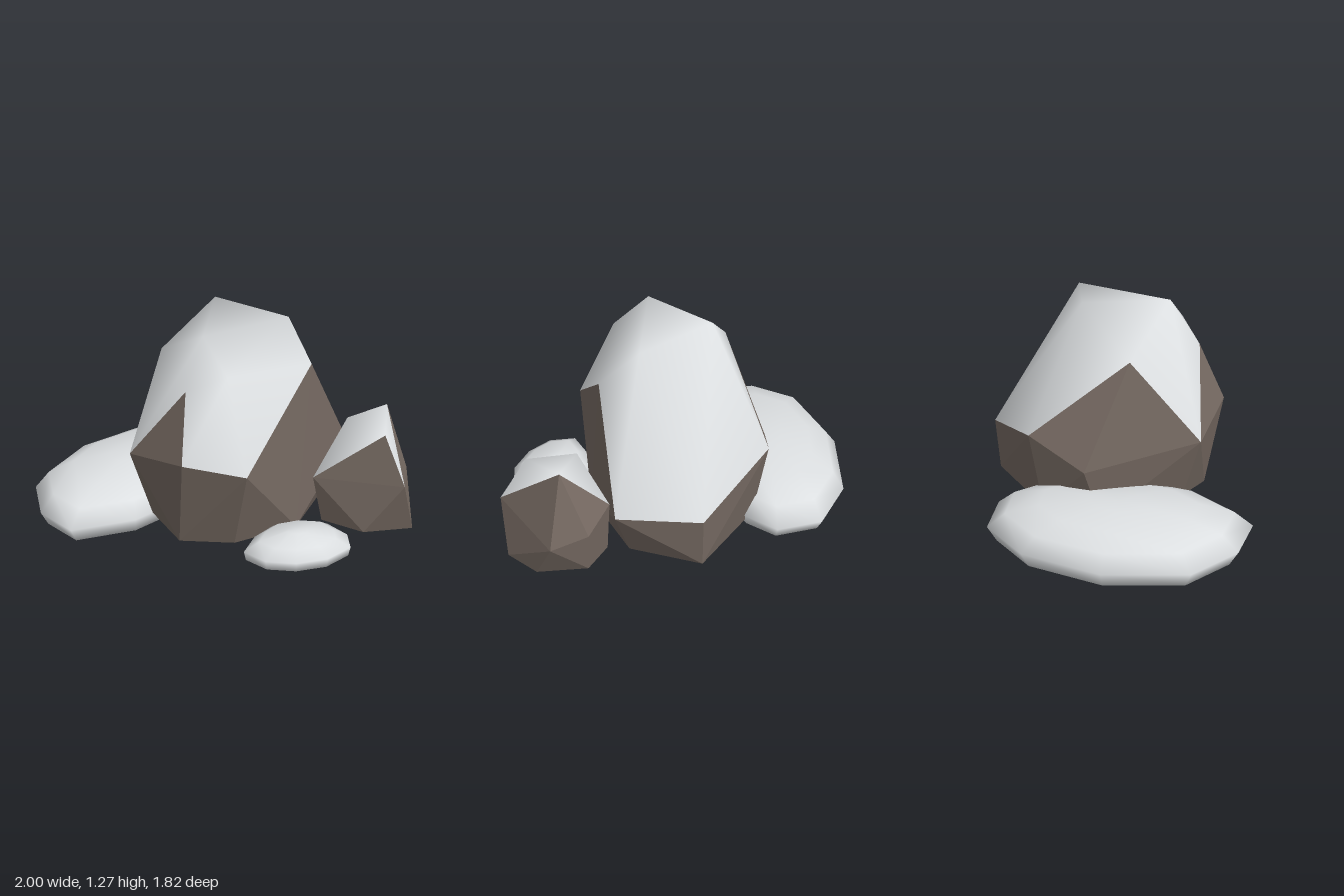
import * as THREE from 'three';
import { mergeVertices } from 'three/addons/utils/BufferGeometryUtils.js';
import { ConvexGeometry } from 'three/addons/geometries/ConvexGeometry.js';

const snow = new THREE.MeshStandardMaterial({ color: 0xdcdfe1 });
snow.name = 'snow';
const stone = new THREE.MeshStandardMaterial({ color: 0x766a62 });
stone.name = 'stone';

function part(name, geometry, material) {
  const mesh = new THREE.Mesh(geometry, material);
  mesh.name = name;
  return mesh;
}

function fromPositions(list) {
  const g = new THREE.BufferGeometry();
  g.setAttribute('position', new THREE.Float32BufferAttribute(list, 3));
  return g;
}

// Faceted boulder: triangles spanning only cap corners carry snow, except the bare ones
function boulder(name, cap, base, bare) {
  const corners = Object.entries(cap).map(([key, p]) => ({ key, v: new THREE.Vector3(...p) }));
  const hull = new ConvexGeometry([...corners.map((c) => c.v), ...base.map((p) => new THREE.Vector3(...p))]);
  const pos = hull.getAttribute('position');
  const snowList = [], stoneList = [];
  const p = new THREE.Vector3();
  for (let i = 0; i < pos.count; i += 3) {
    const keys = [], xyz = [];
    for (let k = 0; k < 3; k++) {
      p.fromBufferAttribute(pos, i + k);
      const hit = corners.find((c) => c.v.distanceTo(p) < 1e-4);
      if (hit) keys.push(hit.key);
      xyz.push(p.x, p.y, p.z);
    }
    const snowy = keys.length === 3 && !bare.includes(keys.sort().join(''));
    (snowy ? snowList : stoneList).push(...xyz);
  }
  const snowGeo = mergeVertices(fromPositions(snowList));
  snowGeo.computeVertexNormals();
  const stoneGeo = fromPositions(stoneList);
  stoneGeo.computeVertexNormals();
  const group = new THREE.Group();
  group.name = name;
  group.add(part(name + 'Stone', stoneGeo, stone), part(name + 'Snow', snowGeo, snow));
  return group;
}

// Rounded slab: one outline (clockwise from above) scaled through levels of [height, scale]
function slab(name, outline, [cx, cz], levels) {
  const n = outline.length, list = [], index = [];
  for (const [y, s] of levels) {
    for (const [x, z] of outline) list.push(cx + (x - cx) * s, y, cz + (z - cz) * s);
  }
  const last = (levels.length - 1) * n;
  const bottom = levels.length * n, top = bottom + 1;
  list.push(cx, levels[0][0], cz, cx, levels[levels.length - 1][0], cz);
  for (let i = 0; i < n; i++) {
    const j = (i + 1) % n;
    for (let r = 0; r < last; r += n) {
      index.push(r + i, r + n + i, r + n + j, r + i, r + n + j, r + j);
    }
    index.push(bottom, i, j, top, last + j, last + i);
  }
  const g = fromPositions(list);
  g.setIndex(index);
  g.computeVertexNormals();
  return part(name, g, snow);
}

export function createModel() {
  const model = new THREE.Group();
  model.name = 'snowyRocks';

  // Large central boulder
  model.add(boulder('mainBoulder', {
    A: [-0.54, 0.55, 0.10], B: [-0.37, 0.62, 0.48], C: [-0.07, 0.575, 0.63],
    D: [0.42, 1.01, 0.29], E: [0.75, 0.42, 0.08], F: [0.62, 0.42, -0.36],
    G: [0.11, 0.59, -0.55], I: [-0.17, 1.22, 0.24], J: [0.37, 1.21, 0.08],
    K: [0.05, 1.27, -0.20], L: [-0.10, 1.05, 0.42], M: [-0.30, 0.97, 0.34],
    N: [-0.27, 1.02, -0.17],
  }, [
    [-0.20, 0.44, -0.44], [-0.42, 0.17, 0.10], [0.62, 0.12, 0.06], [0.30, 0.12, 0.42],
    [-0.08, 0.12, 0.48], [-0.35, 0.12, 0.36], [-0.36, 0.12, 0.08], [-0.22, 0.12, -0.34],
    [0.10, 0.12, -0.47], [0.60, 0.12, -0.35],
  ], ['CDE', 'ABM']));

  // Smaller upright boulder
  model.add(boulder('sideBoulder', {
    A: [0.86, 0.73, 0.33], B: [0.73, 0.67, 0.58], C: [0.79, 0.42, 0.72],
    F: [0.68, 0.45, 0.14], G: [0.62, 0.69, 0.34], H: [0.41, 0.38, 0.38],
  }, [
    [1.0, 0.33, 0.34], [0.87, 0.37, 0.18], [0.89, 0.12, 0.65], [0.61, 0.13, 0.62],
    [0.46, 0.12, 0.40], [0.66, 0.13, 0.17], [0.85, 0.13, 0.20], [0.94, 0.10, 0.46],
  ], ['BCH']));

  // Wide flat slab at the back
  model.add(slab('backSlab', [
    [-0.22, -0.91], [0.10, -0.87], [0.25, -0.66], [0.20, -0.46], [-0.04, -0.20], [-0.27, 0.02],
    [-0.53, 0.14], [-0.89, 0.14], [-1.0, -0.11], [-0.96, -0.43], [-0.64, -0.75],
  ], [-0.40, -0.38], [
    [0, 0.15], [0.03, 0.58], [0.08, 0.93], [0.165, 1], [0.25, 0.86], [0.305, 0.6], [0.33, 0.22],
  ]));

  // Little slab at the front
  model.add(slab('frontSlab', [
    [-0.11, 0.70], [0, 0.57], [0.12, 0.50], [0.28, 0.50], [0.42, 0.57],
    [0.47, 0.71], [0.43, 0.84], [0.27, 0.91], [0.10, 0.90], [-0.04, 0.83],
  ], [0.19, 0.70], [
    [0.07, 0.15], [0.095, 0.6], [0.14, 0.96], [0.19, 1], [0.235, 0.72], [0.265, 0.2],
  ]));

  return model;
}
